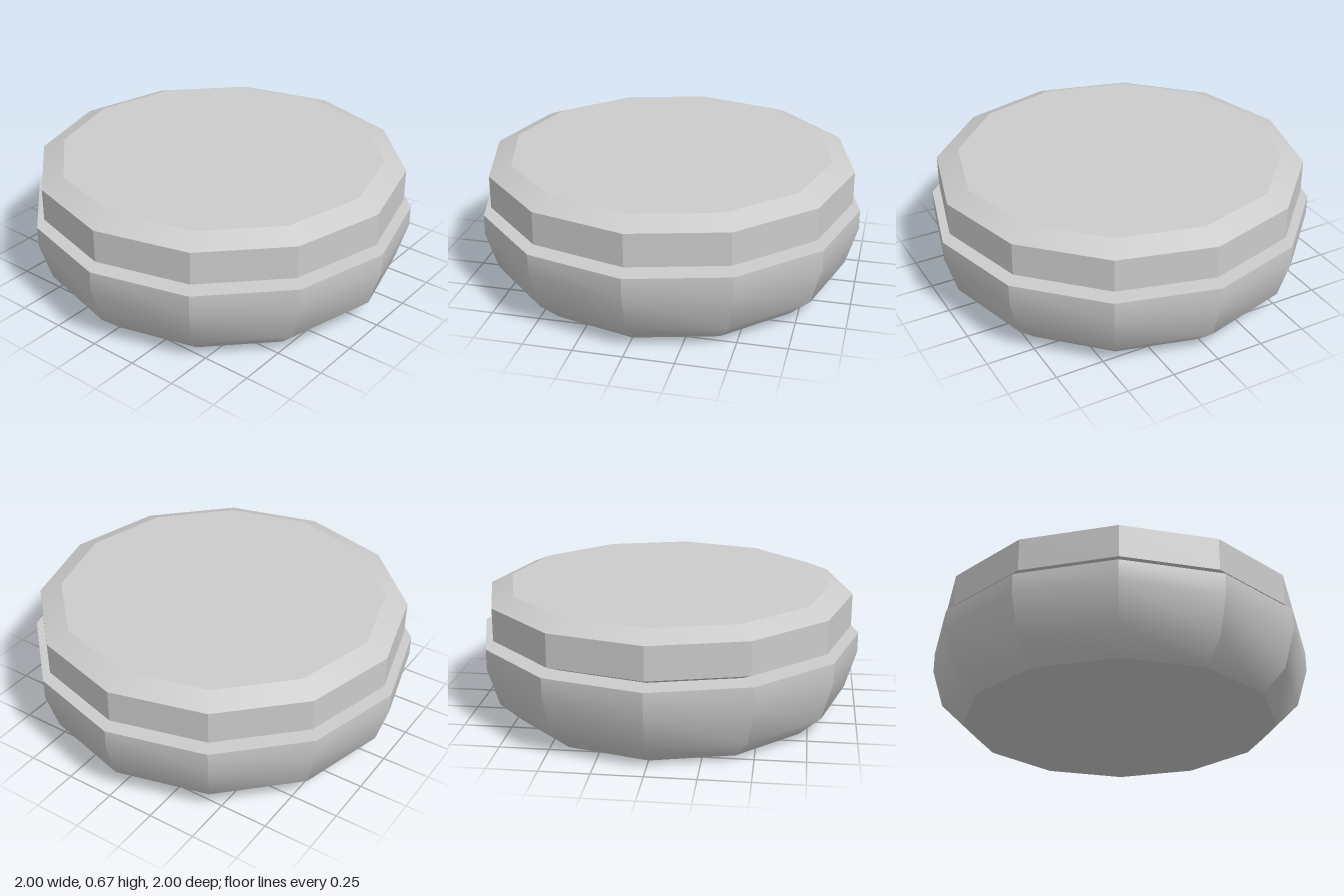
import * as THREE from 'three';
import { mergeGeometries } from 'three/addons/utils/BufferGeometryUtils.js';

const SIDES = 12;
const material = new THREE.MeshStandardMaterial({ color: 0xcccccc });
const toPoints = (pairs) => pairs.map(([r, y]) => new THREE.Vector2(r, y));

// Ring of separate facets: smooth up the profile, sharp between neighbours
function facetedRing(pairs) {
  const step = (Math.PI * 2) / SIDES;
  const facets = [];
  for (let i = 0; i < SIDES; i++) {
    const facet = new THREE.LatheGeometry(toPoints(pairs), 1, i * step, step);
    facet.computeVertexNormals();
    facets.push(facet);
  }
  return mergeGeometries(facets);
}

// Ring with normals that run smoothly around it; also used for flat caps
const smoothRing = (pairs) => new THREE.LatheGeometry(toPoints(pairs), SIDES);

function part(name, geometries) {
  const mesh = new THREE.Mesh(mergeGeometries(geometries), material);
  mesh.name = name;
  return mesh;
}

export function createModel() {
  const model = new THREE.Group();
  model.name = 'lowRoundTub';

  // Bowl-shaped base with a flat bottom and a flat rim
  model.add(part('base', [
    smoothRing([[0, 0], [0.82, 0]]),
    facetedRing([[0.82, 0], [0.94, 0.11], [1, 0.31], [1, 0.415]]),
    smoothRing([[1, 0.415], [0.84, 0.415]]),
  ]));

  // Lid with bevelled edges above and below
  model.add(part('lid', [
    smoothRing([[0.845, 0.405], [0.96, 0.455]]),
    facetedRing([[0.96, 0.455], [0.96, 0.625]]),
    smoothRing([[0.96, 0.625], [0.845, 0.673]]),
    smoothRing([[0.845, 0.673], [0, 0.673]]),
  ]));

  return model;
}
